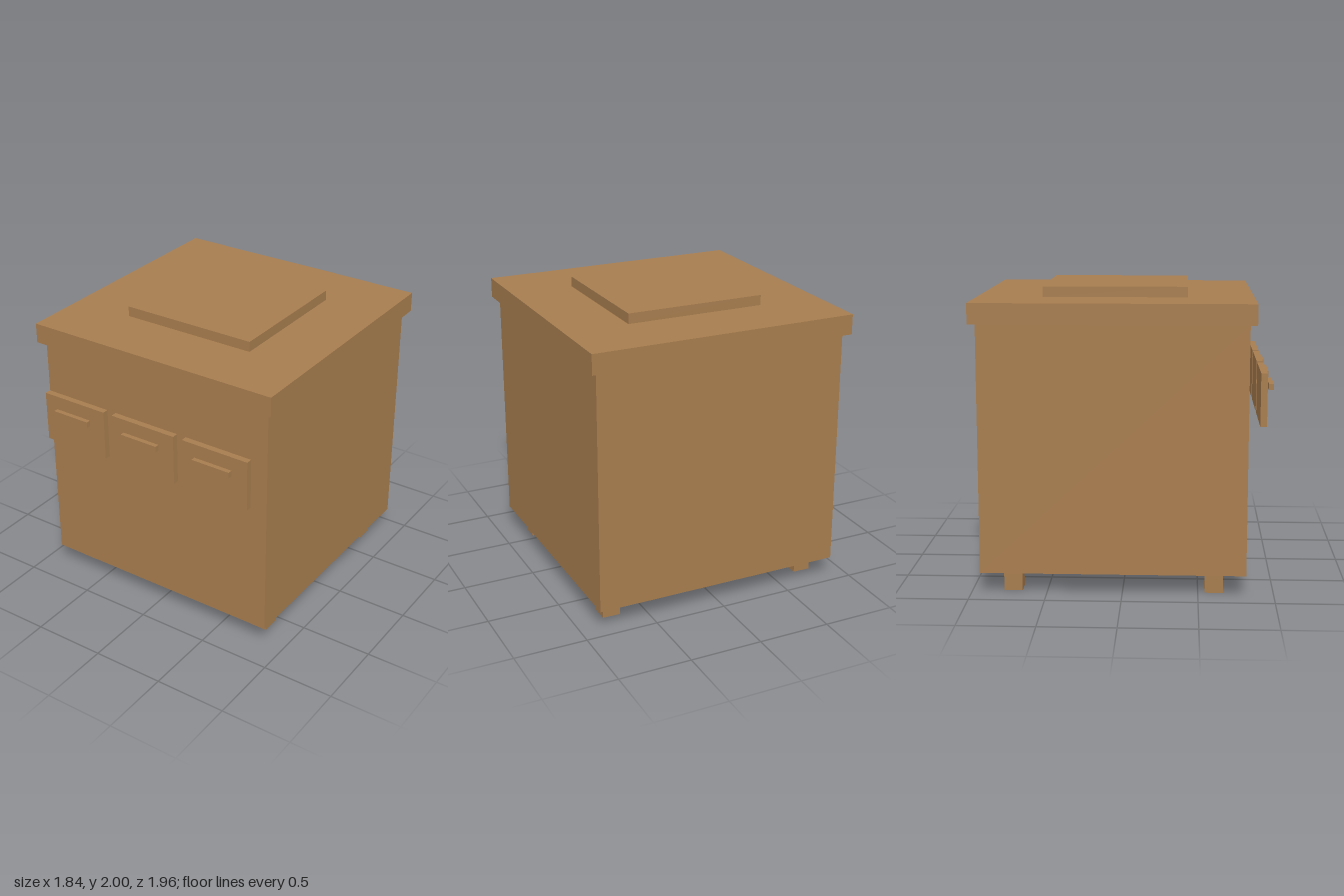
import * as THREE from 'three';

export function createModel() {
  const model = new THREE.Group();
  model.name = 'cabinet';

  const wood = new THREE.MeshStandardMaterial({ color: 0xa87d4f });
  wood.name = 'wood brown';

  // Box given by its centre x/z, bottom and top heights, width and depth
  const box = (name, x, z, y0, y1, width, depth, parent = model) => {
    const mesh = new THREE.Mesh(new THREE.BoxGeometry(width, y1 - y0, depth), wood);
    mesh.position.set(x, (y0 + y1) / 2, z);
    mesh.name = name;
    parent.add(mesh);
    return mesh;
  };

  // The carcass sits slightly back, as the drawers project forward
  const backset = -0.061;
  box('body', 0, backset, 0.142, 1.793, 1.754, 1.754);
  box('worktop', 0, backset, 1.793, 1.93, 1.84, 1.842);
  box('raisedTopPanel', 0, backset, 1.93, 2, 0.963, 0.963);

  // Four square feet
  for (const sx of [-1, 1]) {
    for (const sz of [-1, 1]) {
      box('foot', sx * 0.736, backset + sz * 0.667, 0, 0.142, 0.122, 0.122);
    }
  }

  // Row of three drawer fronts, each with a bar handle standing off it
  ['rightDrawer', 'middleDrawer', 'leftDrawer'].forEach((name, i) => {
    const drawer = new THREE.Group();
    drawer.name = name;
    drawer.position.x = (i - 1) * 0.561 - 0.002;
    box('drawerFront', 0, 0.914, 1.126, 1.477, 0.493, 0.043, drawer);
    box('drawerHandle', 0, 0.966, 1.35, 1.391, 0.28, 0.032, drawer);
    model.add(drawer);
  });

  return model;
}
